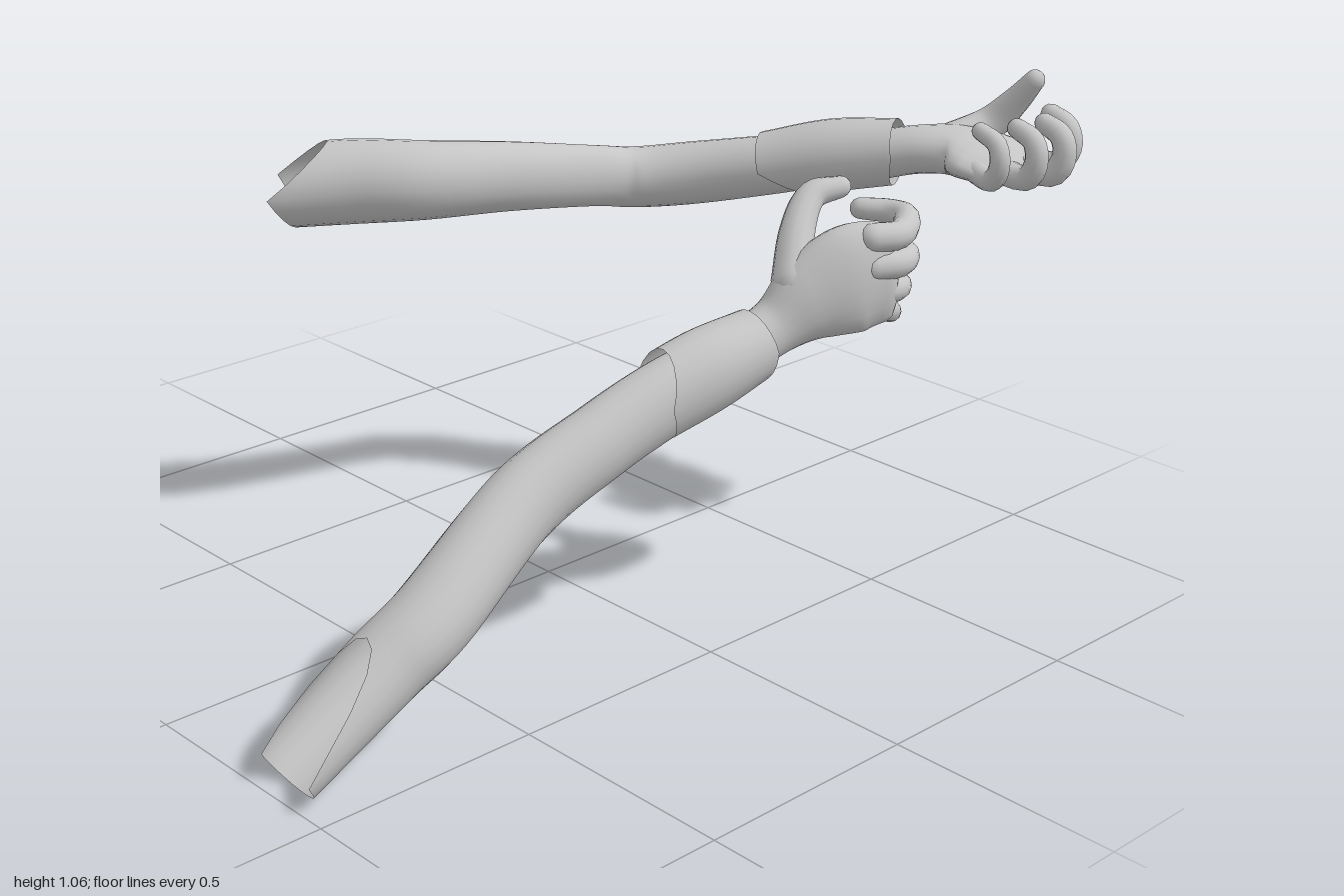
import * as THREE from 'three';

const fabric = new THREE.MeshStandardMaterial({ color: 0xc6c6c6, side: THREE.DoubleSide });
fabric.name = 'light grey';

// Lofts rings [x, y, z, sideRadius, upRadius] into a smooth tube.
// startCut / endCut slant the open rims; capped rounds both ends.
function loft(name, rings, { ref = [0, 1, 0], steps = 30, sides = 20, startCut = () => 0, endCut = () => 0, capped = false } = {}) {
  const smooth = (pts) => new THREE.CatmullRomCurve3(pts, false, 'catmullrom', 0.5);
  const path = smooth(rings.map((r) => new THREE.Vector3(r[0], r[1], r[2])));
  const radii = smooth(rings.map((r) => new THREE.Vector3(r[3], r[4] ?? r[3], 0)));
  const up = new THREE.Vector3(...ref);

  // Each row is a curve parameter, a radius scale and a push along the path.
  const rows = [];
  const capAngles = [0, 0.4, 0.8, 1.2, 1.55];
  if (capped) for (const a of capAngles.slice(1).reverse()) rows.push([0, Math.cos(a), -Math.sin(a)]);
  for (let i = 0; i <= steps; i++) rows.push([i / steps, 1, 0]);
  if (capped) for (const a of capAngles.slice(1)) rows.push([1, Math.cos(a), Math.sin(a)]);

  const pos = [], index = [];
  rows.forEach(([u, scale, push], i) => {
    for (let j = 0; j < sides; j++) {
      const a = (j / sides) * Math.PI * 2;
      const t = THREE.MathUtils.clamp(u + (1 - u) * startCut(a) - u * endCut(a), 0, 1);
      const p = path.getPoint(t), T = path.getTangent(t), r = radii.getPoint(t);
      const s = T.clone().cross(up).normalize();
      const v = s.clone().cross(T);
      p.addScaledVector(s, Math.cos(a) * r.x * scale)
        .addScaledVector(v, Math.sin(a) * r.y * scale)
        .addScaledVector(T, push * Math.min(r.x, r.y));
      pos.push(p.x, p.y, p.z);
      if (i < rows.length - 1) {
        const k = (j + 1) % sides, n = i * sides;
        index.push(n + j, n + sides + j, n + k, n + k, n + sides + j, n + sides + k);
      }
    }
  });
  const g = new THREE.BufferGeometry();
  g.setAttribute('position', new THREE.Float32BufferAttribute(pos, 3));
  g.setIndex(index);
  g.computeVertexNormals();
  const mesh = new THREE.Mesh(g, fabric);
  mesh.name = name;
  return mesh;
}

const digit = (name, rings, ref) => loft(name, rings, { ref, steps: 16, sides: 12, capped: true });
const top = (a) => Math.max(0, Math.sin(a));
const bottom = (a) => Math.max(0, -Math.sin(a));

// Arm reaching sideways, palm turned up
function rightArm() {
  const arm = new THREE.Group();
  arm.name = 'rightArm';
  arm.add(
    loft('sleeve', [
      [-0.59, 0.8, 0.28, 0.1, 0.088], [-0.48, 0.815, 0.16, 0.095, 0.093], [-0.365, 0.82, 0.04, 0.085, 0.087],
      [-0.285, 0.81, -0.14, 0.062, 0.078], [-0.235, 0.78, -0.35, 0.05, 0.07], [-0.2, 0.765, -0.45, 0.068, 0.069],
      [-0.1, 0.78, -0.54, 0.075, 0.07], [0.07, 0.82, -0.63, 0.07, 0.065], [0.15, 0.84, -0.68, 0.065, 0.06],
    ], { steps: 48, startCut: (a) => 0.1 * top(a) + 0.035 * bottom(a) }),
    loft('cuff', [
      [0.04, 0.815, -0.615, 0.08, 0.073], [0.17, 0.85, -0.69, 0.086, 0.08], [0.305, 0.875, -0.755, 0.075, 0.072],
    ], { startCut: (a) => 0.3 * bottom(a), endCut: (a) => 0.06 * bottom(a) }),
    loft('palm', [
      [0.24, 0.855, -0.725, 0.058, 0.055], [0.33, 0.88, -0.78, 0.066, 0.052], [0.4, 0.885, -0.83, 0.1, 0.05],
      [0.47, 0.88, -0.845, 0.122, 0.043], [0.54, 0.872, -0.845, 0.115, 0.032],
    ], { capped: true }),
    digit('thumb', [
      [0.36, 0.885, -0.85, 0.045], [0.4, 0.92, -0.935, 0.04], [0.45, 0.98, -0.962, 0.031], [0.495, 1.035, -0.965, 0.023],
    ], [0, 0, 1]),
  );
  // Curled fingers: base z, tip z, reach, radius
  [[-0.925, -0.95, 0.6, 0.026], [-0.87, -0.88, 0.637, 0.026], [-0.815, -0.805, 0.622, 0.025], [-0.76, -0.73, 0.585, 0.022]]
    .forEach(([z0, z1, x, r], i) => {
      const m = (z0 + z1) / 2;
      arm.add(digit('finger' + (i + 1), [
        [0.51, 0.875, z0, r * 1.15], [x - 0.02, 0.87, m, r * 1.1], [x + 0.01, 0.91, z1, r],
        [x, 0.955, z1, r * 0.95], [x - 0.045, 0.975, z1, r * 0.85],
      ], [0, 0, 1]));
    });
  return arm;
}

// Arm reaching back and up, hand closed in a loose grip
function leftArm() {
  const arm = new THREE.Group();
  arm.name = 'leftArm';
  arm.add(
    loft('sleeve', [
      [0.373, 0.05, 0.985, 0.08, 0.065], [0.385, 0.185, 0.77, 0.085, 0.077], [0.397, 0.26, 0.65, 0.085, 0.08],
      [0.375, 0.41, 0.41, 0.075, 0.083], [0.4, 0.5, 0.22, 0.07, 0.08], [0.425, 0.555, 0.09, 0.067, 0.08],
      [0.45, 0.6, -0.02, 0.065, 0.07],
    ], { steps: 48, startCut: (a) => 0.185 * top(a) ** 1.3 }),
    loft('cuff', [
      [0.422, 0.56, 0.1, 0.074, 0.09], [0.448, 0.6, -0.02, 0.08, 0.088], [0.472, 0.635, -0.14, 0.076, 0.072],
    ], { startCut: (a) => 0.2 * top(a), endCut: (a) => 0.1 * bottom(a) }),
    loft('palm', [
      [0.462, 0.62, -0.09, 0.052, 0.058], [0.48, 0.66, -0.18, 0.05, 0.062], [0.51, 0.71, -0.25, 0.056, 0.095],
      [0.55, 0.745, -0.32, 0.053, 0.118], [0.58, 0.755, -0.38, 0.036, 0.11],
    ], { capped: true }),
    digit('thumb', [
      [0.49, 0.75, -0.22, 0.045], [0.45, 0.83, -0.27, 0.037], [0.43, 0.89, -0.33, 0.031], [0.455, 0.905, -0.39, 0.023],
    ], [1, 0, 0]),
  );
  // Fingers wrapping inward: base y, tip y, knuckle x, radius
  [[0.835, 0.85, 0.602, 0.027], [0.775, 0.775, 0.605, 0.027], [0.715, 0.705, 0.59, 0.026], [0.665, 0.64, 0.57, 0.023]]
    .forEach(([y0, y1, x, r], i) => {
      arm.add(digit('finger' + (i + 1), [
        [x - 0.02, y0, -0.35, r * 1.15], [x, y0, -0.41, r * 1.1], [x - 0.03, y1, -0.465, r],
        [x - 0.08, y1, -0.475, r * 0.95], [x - 0.135, y1, -0.445, r * 0.85],
      ], [0, 1, 0]));
    });
  return arm;
}

export function createModel() {
  const model = new THREE.Group();
  model.name = 'arms';
  model.add(rightArm(), leftArm());
  return model;
}
